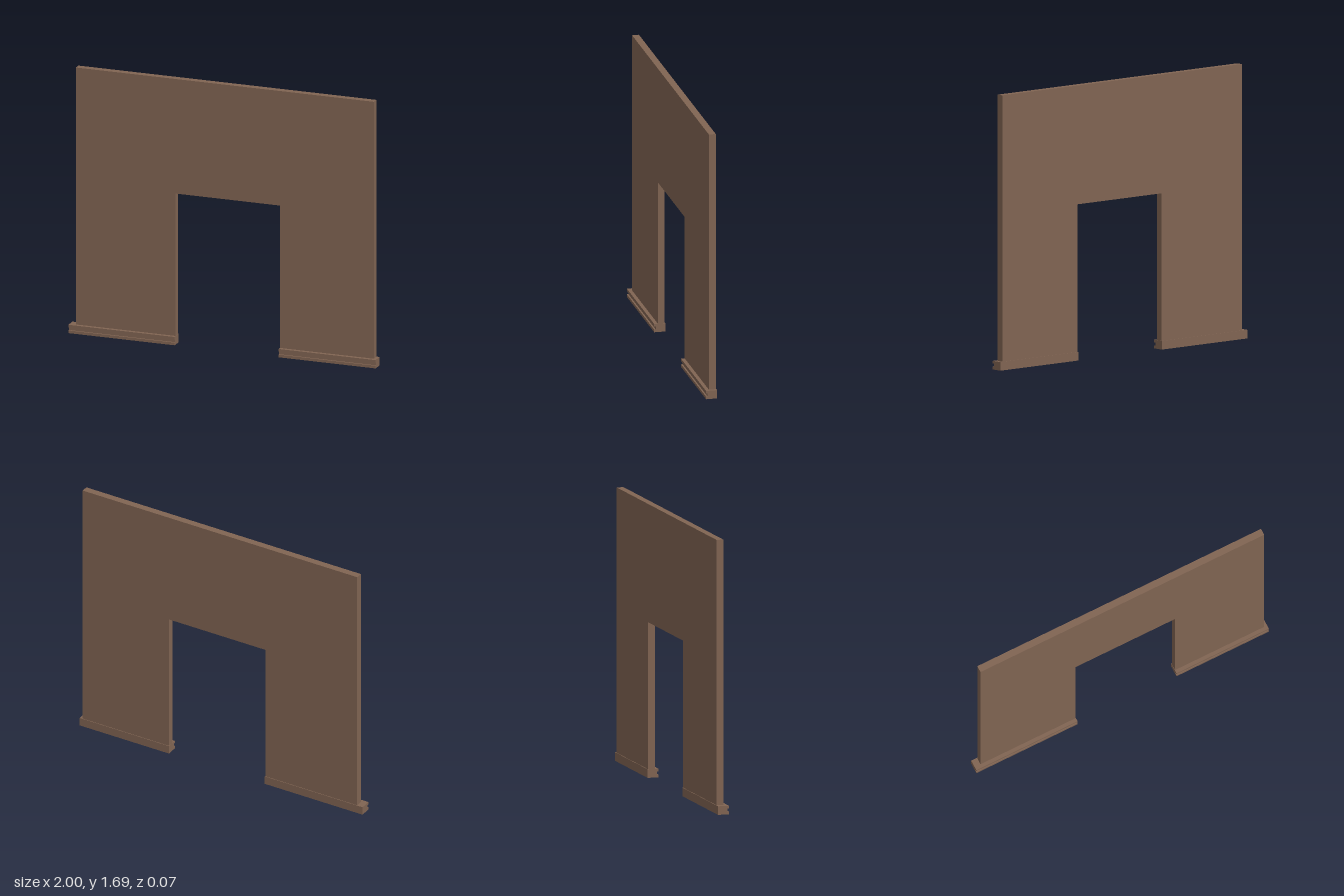
import * as THREE from 'three';

const brown = new THREE.MeshStandardMaterial({ color: 0x806452 });
brown.name = 'brown';

// Closed outline from [x, y] points
const outline = (points) => new THREE.Shape(points.map(([x, y]) => new THREE.Vector2(x, y)));

const extrude = (shape, depth) =>
  new THREE.ExtrudeGeometry(shape, { depth, bevelEnabled: false });

export function createModel() {
  const model = new THREE.Group();
  model.name = 'wallWithDoorway';

  const left = -0.96, right = 0.98, top = 1.69;
  const doorLeft = -0.31, doorRight = 0.37, doorTop = 0.96;

  // Wall panel with the doorway cut out of its lower edge
  const wall = new THREE.Mesh(extrude(outline([
    [left, 0.01], [doorLeft, 0.01], [doorLeft, doorTop], [doorRight, doorTop],
    [doorRight, 0.01], [right, 0.01], [right, top], [left, top],
  ]), 0.043), brown);
  wall.name = 'wall';
  wall.position.z = -0.031;
  model.add(wall);

  // Skirting: a profile in (z, y) with a groove along the front, run along x
  const profile = outline([
    [-0.035, 0], [0.035, 0], [0.035, 0.017], [0.025, 0.017],
    [0.025, 0.037], [0.035, 0.037], [0.035, 0.053], [-0.035, 0.053],
  ].map(([z, y]) => [-z, y]));
  const skirtings = [
    ['rightSkirting', -1, doorLeft + 0.002],
    ['leftSkirting', doorRight - 0.002, 1],
  ];
  for (const [name, x0, x1] of skirtings) {
    const geometry = extrude(profile, x1 - x0);
    geometry.rotateY(Math.PI / 2);
    const skirting = new THREE.Mesh(geometry, brown);
    skirting.name = name;
    skirting.position.x = x0;
    model.add(skirting);
  }

  return model;
}
